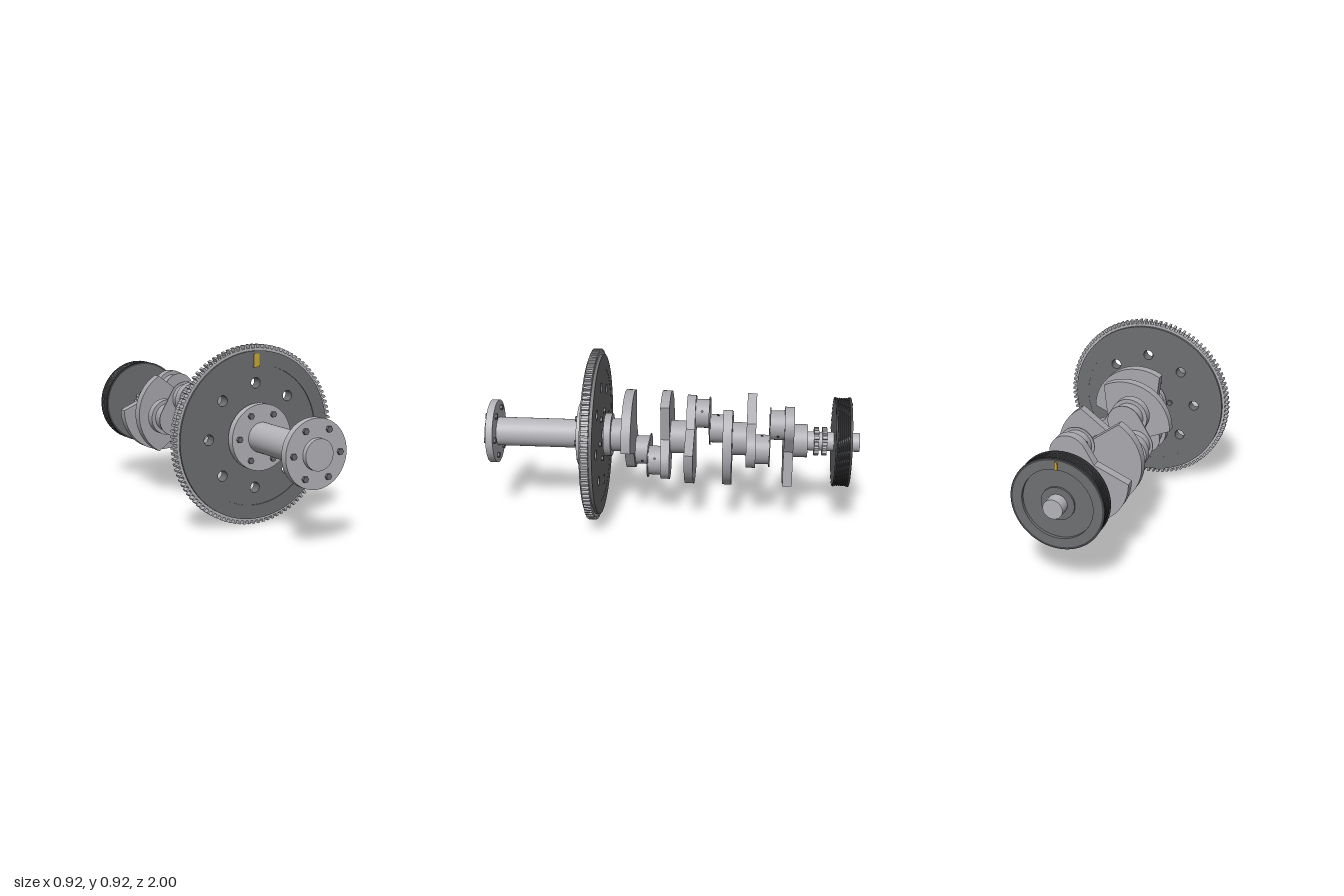
import * as THREE from 'three';
import { toCreasedNormals } from 'three/addons/utils/BufferGeometryUtils.js';

const material = (name, color) => {
  const m = new THREE.MeshStandardMaterial({ color });
  m.name = name;
  return m;
};

export function createModel() {
  const steel = material('light steel', 0xb4b4b9);
  const forged = material('forged steel', 0xa9a9ae);
  const iron = material('dark iron', 0x6e6f71);
  const rubber = material('black rim', 0x434447);
  const boltGrey = material('bolt grey', 0x6a6b6e);
  const bore = material('oil bore', 0x3a3a3c);
  const yellow = material('timing yellow', 0xc8a838);

  const model = new THREE.Group();
  model.name = 'crankshaftAssembly';
  const axis = new THREE.Group(); // everything turns about this centre line
  axis.name = 'rotatingParts';
  axis.position.y = 0.46;
  model.add(axis);

  const add = (name, geometry, mat, x = 0, y = 0, z = 0) => {
    const mesh = new THREE.Mesh(geometry, mat);
    mesh.name = name;
    mesh.position.set(x, y, z);
    axis.add(mesh);
    return mesh;
  };
  // Round bar along z between z0 and z1
  const bar = (name, r, z0, z1, mat, x = 0, y = 0, sides = 48) => {
    const g = new THREE.CylinderGeometry(r, r, z1 - z0, sides).rotateX(Math.PI / 2);
    if (sides === 6) g.rotateZ(Math.PI / 6);
    return add(name, sides === 6 ? toCreasedNormals(g, 0.3) : g, mat, x, y, (z0 + z1) / 2);
  };
  // Flat plate cut from a shape, between z0 and z1
  const plate = (name, shape, z0, z1, mat, curveSegments = 24) => {
    const g = new THREE.ExtrudeGeometry(shape, { depth: z1 - z0, bevelEnabled: false, curveSegments });
    return add(name, toCreasedNormals(g, 0.4), mat, 0, 0, z0);
  };
  const circleHole = (x, y, r) => new THREE.Path().absarc(x, y, r, 0, Math.PI * 2, true);
  const ring = (R, r) => {
    const s = new THREE.Shape().absarc(0, 0, R, 0, Math.PI * 2, false);
    s.holes.push(circleHole(0, 0, r));
    return s;
  };
  const polar = (r, a) => [r * Math.cos(a), r * Math.sin(a)];
  // Straight-sided toothed wheel with a round opening
  const gear = (n, root, tip, width, hole) => {
    const pts = [];
    for (let i = 0; i < n; i++) {
      const a = (i / n) * Math.PI * 2 + Math.PI / 2;
      const t = (r, s) => pts.push(new THREE.Vector2(...polar(r, a + s * width / 2 / r)));
      t(root, -1); t(tip, -1); t(tip, 1); t(root, 1);
    }
    const s = new THREE.Shape(pts);
    s.holes.push(circleHole(0, 0, hole));
    return s;
  };

  // Output shaft with a bolted flange at each end
  bar('outputShaft', 0.077, 0.43, 1, steel);
  for (const [z0, z1, b0, b1] of [[0.937, 0.975, 0.925, 0.988], [0.452, 0.492, 0.36, 0.505]]) {
    bar('shaftFlange', 0.17, z0, z1, steel, 0, 0, 64);
    for (let i = 0; i < 6; i++) {
      const [x, y] = polar(0.13, i * Math.PI / 3);
      bar('flangeBolt', 0.016, b0, b1, boltGrey, x, y, 6);
    }
  }

  // Flywheel: raised rim, drilled web and starter ring gear
  plate('flywheelRim', ring(0.43, 0.358), 0.37, 0.435, iron, 48);
  const web = ring(0.36, 0.03);
  for (let i = 0; i < 8; i++) web.holes.push(circleHole(...polar(0.268, i * Math.PI / 4), 0.027));
  plate('flywheelWeb', web, 0.371, 0.43, iron, 48);
  plate('ringGear', gear(100, 0.443, 0.46, 0.012, 0.425), 0.386, 0.425, steel, 48);
  add('flywheelTimingMark', new THREE.BoxGeometry(0.032, 0.068, 0.009), yellow, 0, 0.381, 0.4335);

  // Main journals and nose
  bar('crankFlange', 0.115, 0.317, 0.355, forged);
  for (const [z0, z1] of [[0.24, 0.32], [-0.09, 0.005], [-0.405, -0.325], [-0.725, -0.65]]) {
    bar('mainJournal', 0.088, z0, z1, forged);
  }
  bar('crankNose', 0.05, -1, -0.72, steel);

  // Crank web: rounded pin end along -x, counterweight fan along +x, turned to the pin angle
  const webShape = new THREE.Shape();
  webShape.absarc(0, 0, 0.247, -Math.PI / 3, Math.PI / 3, false);
  webShape.lineTo(-0.03, 0.1);
  webShape.absarc(-0.13, 0, 0.098, Math.PI / 2, Math.PI * 1.5, false);
  webShape.lineTo(-0.03, -0.1);
  const deg = Math.PI / 180, throwRadius = 0.13;
  // [pin angle, web z0, web z1, pin z0, pin z1]
  const throws = [
    [240, 0.195, 0.245, 0.117, 0.2], [300, 0, 0.048, 0.04, 0.117],
    [120, -0.13, -0.083, -0.203, -0.125], [180, -0.33, -0.282, -0.29, -0.203],
    [0, -0.453, -0.403, -0.525, -0.445], [60, -0.65, -0.6, -0.61, -0.525],
  ];
  for (const [angle, w0, w1, p0, p1] of throws) {
    const a = angle * deg, [x, y] = polar(throwRadius, a);
    plate('crankWeb', webShape, w0, w1, forged).rotation.z = a + Math.PI;
    bar('crankPin', 0.077, p0, p1, forged, x, y);
    // Oil drilling across the pin
    const oil = add('oilHole', new THREE.CylinderGeometry(0.008, 0.008, 0.156, 12), bore, x, y, (p0 + p1) / 2);
    oil.rotation.z = a;
  }

  // Thin divider around each pair of neighbouring pins, pins lying 30 degrees either side of +x
  const [px, py] = polar(throwRadius, 30 * deg);
  const divider = new THREE.Shape();
  divider.absarc(px, py, 0.091, 0, Math.PI, false);
  divider.absarc(px, -py, 0.091, Math.PI, Math.PI * 2, false);
  for (const [angle, z] of [[270, 0.117], [150, -0.203], [30, -0.525]]) {
    plate('pinDivider', divider, z - 0.003, z + 0.003, forged).rotation.z = angle * deg;
  }

  // Double timing sprocket
  for (const z of [-0.828, -0.785]) {
    plate('timingSprocket', gear(14, 0.058, 0.076, 0.016, 0.045), z, z + 0.025, steel);
  }

  // Pulley: ribbed black rim around a recessed hub
  const lathe = (name, pts, mat) => {
    const g = new THREE.LatheGeometry(pts.map(p => new THREE.Vector2(...p)), 64).rotateX(Math.PI / 2);
    return add(name, toCreasedNormals(g, 0.4), mat);
  };
  const rim = [[0.226, -0.947], [0.237, -0.947], [0.237, -0.935]];
  for (let i = 0; i < 6; i++) {
    const z = -0.933 + i * 0.01;
    rim.push([0.227, z + 0.002], [0.234, z + 0.005], [0.234, z + 0.008]);
  }
  rim.push([0.227, -0.872], [0.237, -0.87], [0.237, -0.862], [0.226, -0.862]);
  lathe('pulleyRim', rim, rubber);
  lathe('pulleyBody', [
    [0.04, -0.94], [0.085, -0.94], [0.085, -0.93], [0.18, -0.93], [0.18, -0.946],
    [0.228, -0.946], [0.228, -0.863], [0.04, -0.863],
  ], iron);
  add('pulleyTimingMark', new THREE.BoxGeometry(0.014, 0.04, 0.008), yellow, 0, 0.2, -0.948);

  return model;
}
